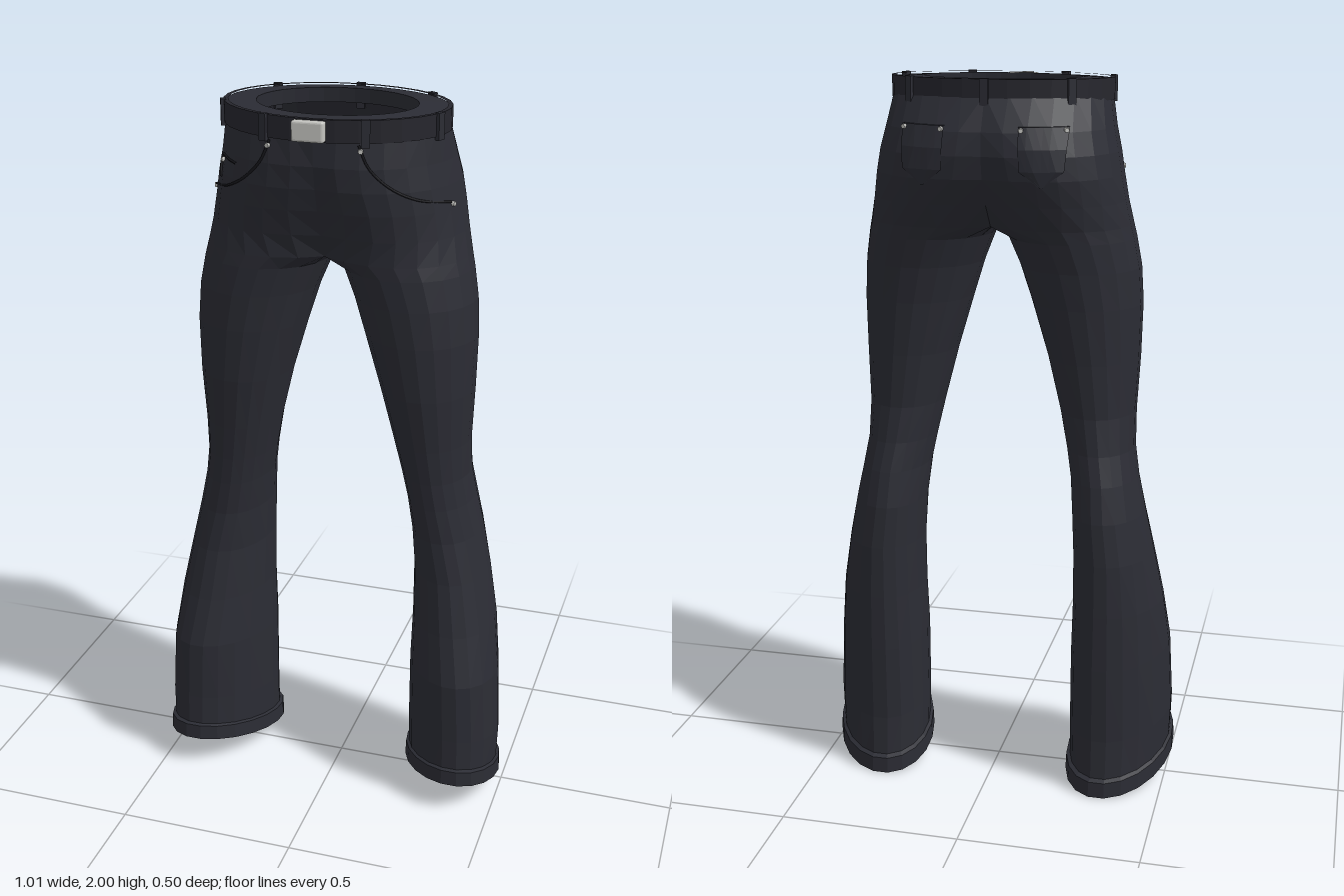
import * as THREE from 'three';
import { RoundedBoxGeometry } from 'three/addons/geometries/RoundedBoxGeometry.js';

const OUTER = 15, COLS = 20; // ring columns: front seam -> hip -> back seam, then inseam
const V = (x, y, z) => new THREE.Vector3(x, y, z);

// Half-body sections: y, inner x, centre x, outer x, front z, back z, seam angle, twist
const LEG = [
  [0.05, 0.225, 0.357, 0.49, 0.2, -0.19, 45, 0.18],
  [0.2, 0.222, 0.355, 0.495, 0.193, -0.18, 45, 0.18],
  [0.4, 0.222, 0.35, 0.485, 0.192, -0.186, 45, 0.16],
  [0.55, 0.224, 0.34, 0.468, 0.158, -0.186, 45, 0.12],
  [0.7, 0.222, 0.33, 0.44, 0.13, -0.185, 45, 0.08],
  [0.82, 0.215, 0.31, 0.415, 0.12, -0.178, 45, 0.04],
  [0.92, 0.205, 0.297, 0.393, 0.125, -0.16, 45, 0],
  [1.0, 0.19, 0.285, 0.38, 0.132, -0.14, 45, 0],
  [1.1, 0.168, 0.272, 0.378, 0.145, -0.126, 45, 0],
  [1.25, 0.13, 0.255, 0.385, 0.166, -0.132, 45, 0],
  [1.4, 0.085, 0.235, 0.388, 0.177, -0.145, 45, 0],
  [1.5, 0.053, 0.215, 0.382, 0.179, -0.158, 45, 0],
  [1.58, 0.02, 0.19, 0.368, 0.18, -0.176, 45, 0],
  [1.615, 0, 0.17, 0.36, 0.18, -0.186, 45, 0],
];
const HIPS = [
  LEG[LEG.length - 1],
  [1.68, 0, 0.14, 0.346, 0.186, -0.214, 30, 0],
  [1.75, 0, 0.11, 0.334, 0.203, -0.243, 22, 0],
  [1.81, 0, 0.08, 0.324, 0.217, -0.251, 18, 0],
  [1.87, 0, 0.05, 0.31, 0.223, -0.24, 12, 0],
  [1.96, 0, 0, 0.294, 0.22, -0.192, 0, 0],
];

// Point of one section at a column
function sectionPoint([y, xi, xc, xo, zf, zb, beta, twist], j) {
  const half = 90 + beta;
  const deg = j <= OUTER ? half * (1 - 2 * j / OUTER)
    : -half - (360 - 2 * half) * (j - OUTER) / (COLS - OUTER);
  const a = THREE.MathUtils.degToRad(deg), c = Math.cos(a);
  const dz = (zf - zb) / 2 * Math.sin(a), z = (zf + zb) / 2 + dz;
  let x;
  if (c >= 0) x = xc + (xo - xc) * c;
  else if (xi > 0) x = xc + (xc - xi) * c;
  else x = beta ? Math.max(0, xc * (1 + c / Math.sin(THREE.MathUtils.degToRad(beta)))) : 0;
  const slant = 0.23 * Math.max(0, 1 - Math.max(0, y - 0.1) / 0.4);
  return V(x + twist * dz, y + slant * z, z);
}
const ring = (row, n) => Array.from({ length: n + 1 }, (_, j) => sectionPoint(row, j));

// Flat-shaded skin over successive rings; mirrored copies flip the winding
function loft(rings, mirror = false) {
  const pos = [], s = mirror ? -1 : 1;
  const tri = (a, b, c) => (mirror ? [a, c, b] : [a, b, c]).forEach(p => pos.push(s * p.x, p.y, p.z));
  for (let i = 0; i + 1 < rings.length; i++)
    for (let j = 0; j + 1 < rings[i].length; j++) {
      const a = rings[i][j], b = rings[i][j + 1], c = rings[i + 1][j], d = rings[i + 1][j + 1];
      tri(a, b, d);
      tri(a, d, c);
    }
  const g = new THREE.BufferGeometry();
  g.setAttribute('position', new THREE.Float32BufferAttribute(pos, 3));
  g.computeVertexNormals();
  return g;
}

// Point and outward normal on the hips at a given x and y
function onHips(x, y, front, lift = 0) {
  const ax = Math.abs(x);
  let i = 0;
  while (i < HIPS.length - 2 && HIPS[i + 1][0] < y) i++;
  const k = (y - HIPS[i][0]) / (HIPS[i + 1][0] - HIPS[i][0]);
  const at = j => {
    const j0 = Math.min(Math.floor(j), OUTER - 1);
    const col = n => sectionPoint(HIPS[i], n).lerp(sectionPoint(HIPS[i + 1], n), k);
    return col(j0).lerp(col(j0 + 1), j - j0);
  };
  let lo = front ? 0 : OUTER, hi = OUTER / 2;
  for (let n = 0; n < 24; n++) {
    const mid = (lo + hi) / 2;
    if (at(mid).x < ax) lo = mid; else hi = mid;
  }
  const p = at(lo);
  if (x < 0) p.x = -p.x;
  const normal = V(p.x / 0.096, 0, p.z / 0.045).normalize();
  return { p: p.addScaledVector(normal, lift), normal };
}

// Horizontal oval for the waist, running the same way as the sections
const oval = (y, rx, rz, zc = 0.015, n = 32) => Array.from({ length: n + 1 }, (_, j) => {
  const a = j / n * Math.PI * 2, z = zc + rz * Math.cos(a);
  return V(rx * Math.sin(a), y - 0.02 * z, z);
});

export function createModel() {
  const mat = (name, color, side = THREE.FrontSide) => {
    const m = new THREE.MeshStandardMaterial({ color, side });
    m.name = name;
    return m;
  };
  const fabric = mat('charcoalFabric', 0x2b2c34, THREE.DoubleSide);
  const leather = mat('blackLeather', 0x26262d);
  const thread = mat('darkSeam', 0x17171c);
  const metal = mat('silverMetal', 0xc4c4c0);

  const group = new THREE.Group();
  group.name = 'trousers';
  const body = new THREE.Group();
  body.name = 'trousersBody';
  body.position.x = -0.008;
  group.add(body);
  const add = (name, geometry, material) => {
    const m = new THREE.Mesh(geometry, material);
    m.name = name;
    body.add(m);
    return m;
  };
  const seam = (name, pts, front) => {
    const curve = new THREE.CatmullRomCurve3(pts.map(([x, y]) => onHips(x, y, front, 0.002).p));
    add(name, new THREE.TubeGeometry(curve, 20, 0.0035, 5), thread);
  };
  const rivet = (x, y, front, lift = 0.004) => {
    const { p, normal } = onHips(x, y, front, lift);
    const m = add('rivet', new THREE.CylinderGeometry(0.006, 0.007, 0.008, 8), metal);
    m.position.copy(p);
    m.quaternion.setFromUnitVectors(V(0, 1, 0), normal);
  };

  // Hem cuff sections: inner bottom, outer bottom, outer top, inner top
  const hem = LEG[0];
  const cuffRow = (dy, d) => [hem[0] + dy, hem[1] - d, hem[2], hem[3] + d, hem[4] + d, hem[5] - d, 45, 0.18];
  const cuff = [cuffRow(0, -0.012), cuffRow(0, 0.012), cuffRow(0.045, 0.01), cuffRow(0.05, -0.002)];

  for (const s of [1, -1]) {
    const side = s > 0 ? 'left' : 'right', mirror = s < 0;
    add(side + 'Leg', loft(LEG.map(r => ring(r, COLS)), mirror), fabric);
    add(side + 'Hip', loft(HIPS.map(r => ring(r, OUTER)), mirror), fabric);
    add(side + 'Cuff', loft(cuff.map(r => ring(r, COLS)), mirror), fabric);

    // Curved front pocket opening with its rivets
    seam(side + 'FrontPocketSeam',
      [[0.115, 1.93], [0.14, 1.875], [0.19, 1.825], [0.25, 1.79], [0.315, 1.768]].map(([x, y]) => [s * x, y]), true);
    rivet(s * 0.12, 1.915, true);
    rivet(s * 0.318, 1.762, true);

    // Pointed back patch pocket: y, half width, lift
    const patch = [[1.885, 0.06, 0], [1.885, 0.06, 0.01], [1.83, 0.058, 0.008], [1.775, 0.055, 0.006], [1.735, 0.004, 0.004]]
      .map(([y, w, lift]) => Array.from({ length: 7 }, (_, n) => onHips(0.155 + w * (1 - n / 3), y, false, lift).p));
    add(side + 'BackPocket', loft(patch.reverse(), mirror), fabric);
    for (const x of [0.102, 0.208]) rivet(s * x, 1.877, false, 0.011);
  }

  // Small coin pocket
  seam('coinPocketSeam', [[-0.285, 1.8], [-0.282, 1.855], [-0.25, 1.855], [-0.22, 1.852]], true);
  rivet(-0.275, 1.846, true);

  // Waistband lining and belt
  add('waistbandLining', loft([oval(1.99, 0.295, 0.207), oval(1.994, 0.213, 0.155), oval(1.955, 0.216, 0.158)]), fabric);
  add('belt', loft([oval(1.938, 0.288, 0.2), oval(1.938, 0.3, 0.212), oval(1.995, 0.3, 0.212), oval(1.995, 0.288, 0.2)]), leather);

  // Belt loops around the waist
  for (const deg of [-26, 26, -72, 72, -135, 135, 180]) {
    const a = THREE.MathUtils.degToRad(deg), sx = Math.sin(a), cz = Math.cos(a);
    const m = add('beltLoop', new THREE.BoxGeometry(0.022, 0.068, 0.014), fabric);
    m.position.set(0.301 * sx, 1.963 - 0.02 * cz * 0.2, 0.015 + 0.213 * cz);
    m.rotation.y = Math.atan2(sx / 0.301, cz / 0.213);
  }

  // Buckle plate, bowed slightly forward at the middle
  const plate = new RoundedBoxGeometry(0.085, 0.052, 0.024, 2, 0.006);
  const pos = plate.attributes.position;
  for (let i = 0; i < pos.count; i++) pos.setZ(i, pos.getZ(i) - 4 * pos.getX(i) ** 2);
  plate.computeVertexNormals();
  add('buckle', plate, metal).position.set(-0.006, 1.962, 0.24);

  return group;
}
